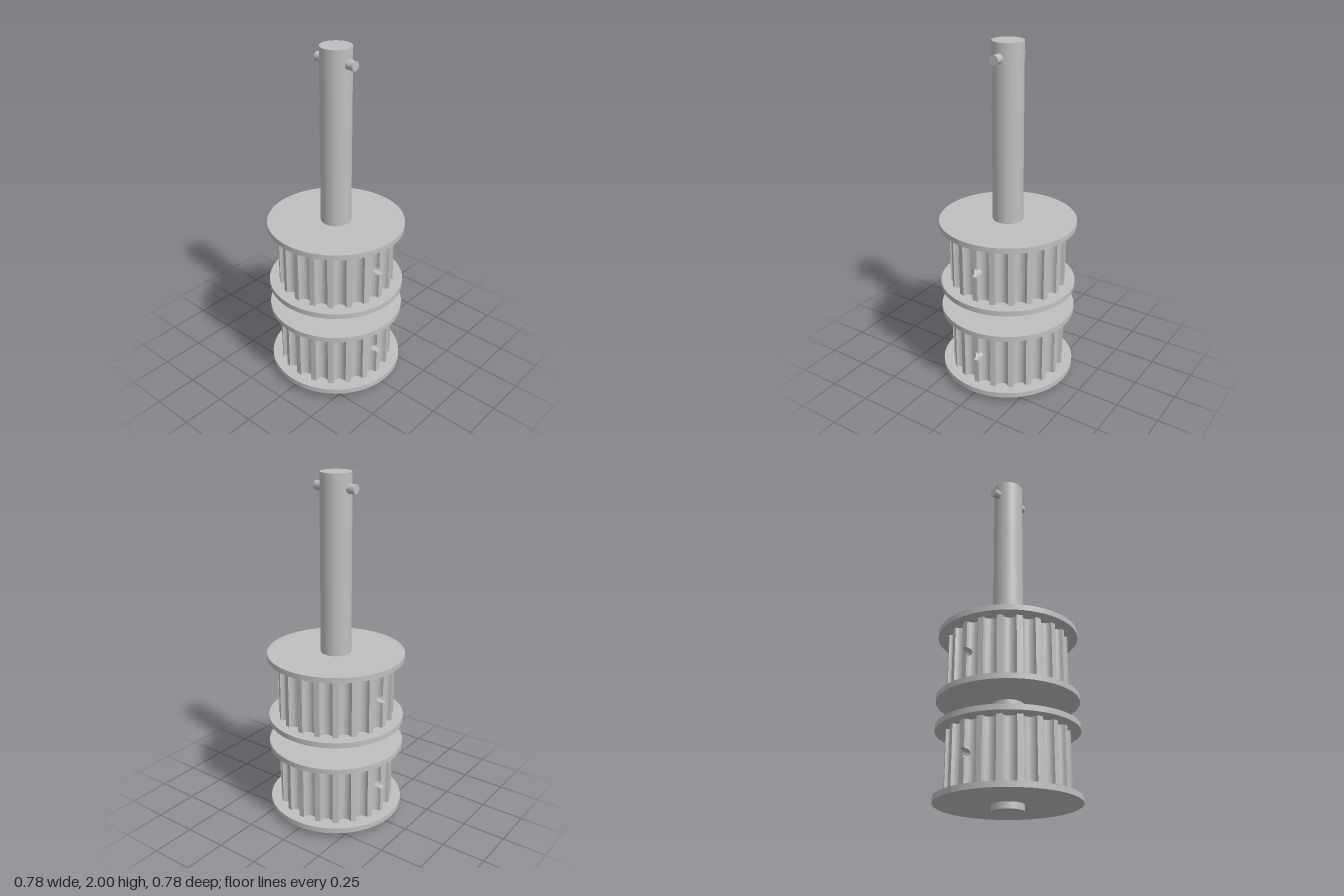
import * as THREE from 'three';
import { toCreasedNormals } from 'three/addons/utils/BufferGeometryUtils.js';

const TEETH = 20, R = 0.335, HOLE = 0.028, SHAFT = 0.087;
const FLANGE_R = 0.392, FLANGE_H = 0.031;

// Closed outline of the toothed drum: narrow lands with round grooves between
function toothProfile() {
  const pts = [], pitch = (Math.PI * 2) / TEETH, half = 0.048;
  const gr = R * Math.sin(pitch / 2 - half), gc = R * Math.cos(pitch / 2 - half);
  for (let k = 0; k < TEETH; k++) {
    const a = k * pitch;
    for (let i = 0; i <= 6; i++) {
      const t = a + half * (i / 3 - 1);
      pts.push([R * Math.sin(t), R * Math.cos(t)]);
    }
    const m = a + pitch / 2, s = Math.sin(m), c = Math.cos(m);
    for (let i = 1; i < 18; i++) {
      const p = (Math.PI * i) / 18;
      const along = -gr * Math.cos(p), rad = gc - gr * Math.sin(p);
      pts.push([rad * s + along * c, rad * c - along * s]);
    }
  }
  return pts;
}

// Drum wall, split at the screw holes, with the hole bores running to the shaft
function drumGeometry(y0, y1, yc) {
  const pos = [], pts = toothProfile();
  const quad = (a, b, c, d) => pos.push(...a, ...b, ...c, ...a, ...c, ...d);
  const gap = (p) => Math.sqrt(Math.max(0, HOLE * HOLE - p[0] * p[0]));
  pts.forEach((p, i) => {
    const q = pts[(i + 1) % pts.length], hp = gap(p), hq = gap(q);
    const P = (y) => [p[0], y, p[1]], Q = (y) => [q[0], y, q[1]];
    quad(P(y0), Q(y0), Q(yc - hq), P(yc - hp));
    quad(P(yc + hp), Q(yc + hq), Q(y1), P(y1));
    if (hp + hq > 0) {
      const z = Math.sign(p[1]) * 0.075;
      const Pi = (y) => [p[0], y, z], Qi = (y) => [q[0], y, z];
      quad(P(yc - hp), Q(yc - hq), Qi(yc - hq), Pi(yc - hp));
      quad(Pi(yc + hp), Qi(yc + hq), Q(yc + hq), P(yc + hp));
    }
  });
  const g = new THREE.BufferGeometry();
  g.setAttribute('position', new THREE.Float32BufferAttribute(pos, 3));
  return toCreasedNormals(g, 0.5);
}

export function createModel() {
  const model = new THREE.Group();
  model.name = 'pulleyShaft';
  const steel = new THREE.MeshStandardMaterial({ color: 0xbfbfbf });
  steel.name = 'steelGrey';

  const add = (parent, name, geometry, y = 0) => {
    const mesh = new THREE.Mesh(geometry, steel);
    mesh.name = name;
    mesh.position.y = y;
    parent.add(mesh);
    return mesh;
  };

  // Shaft and the cross pin near its top
  add(model, 'shaft', new THREE.CylinderGeometry(SHAFT, SHAFT, 2, 64), 1);
  const pin = add(model, 'crossPin', new THREE.CylinderGeometry(0.026, 0.026, 0.262, 32), 1.918);
  pin.rotation.x = Math.PI / 2;

  // Two toothed pulleys, each between a pair of flanges
  const flange = new THREE.CylinderGeometry(FLANGE_R, FLANGE_R, FLANGE_H, 96);
  [['lowerPulley', 0.036, 0.449], ['upperPulley', 0.582, 0.996]].forEach(([name, y0, y1]) => {
    const pulley = new THREE.Group();
    pulley.name = name;
    add(pulley, 'bottomFlange', flange, y0 + FLANGE_H / 2);
    add(pulley, 'topFlange', flange, y1 - FLANGE_H / 2);
    add(pulley, 'toothedDrum', drumGeometry(y0 + FLANGE_H, y1 - FLANGE_H, (y0 + y1) / 2));
    model.add(pulley);
  });
  return model;
}
